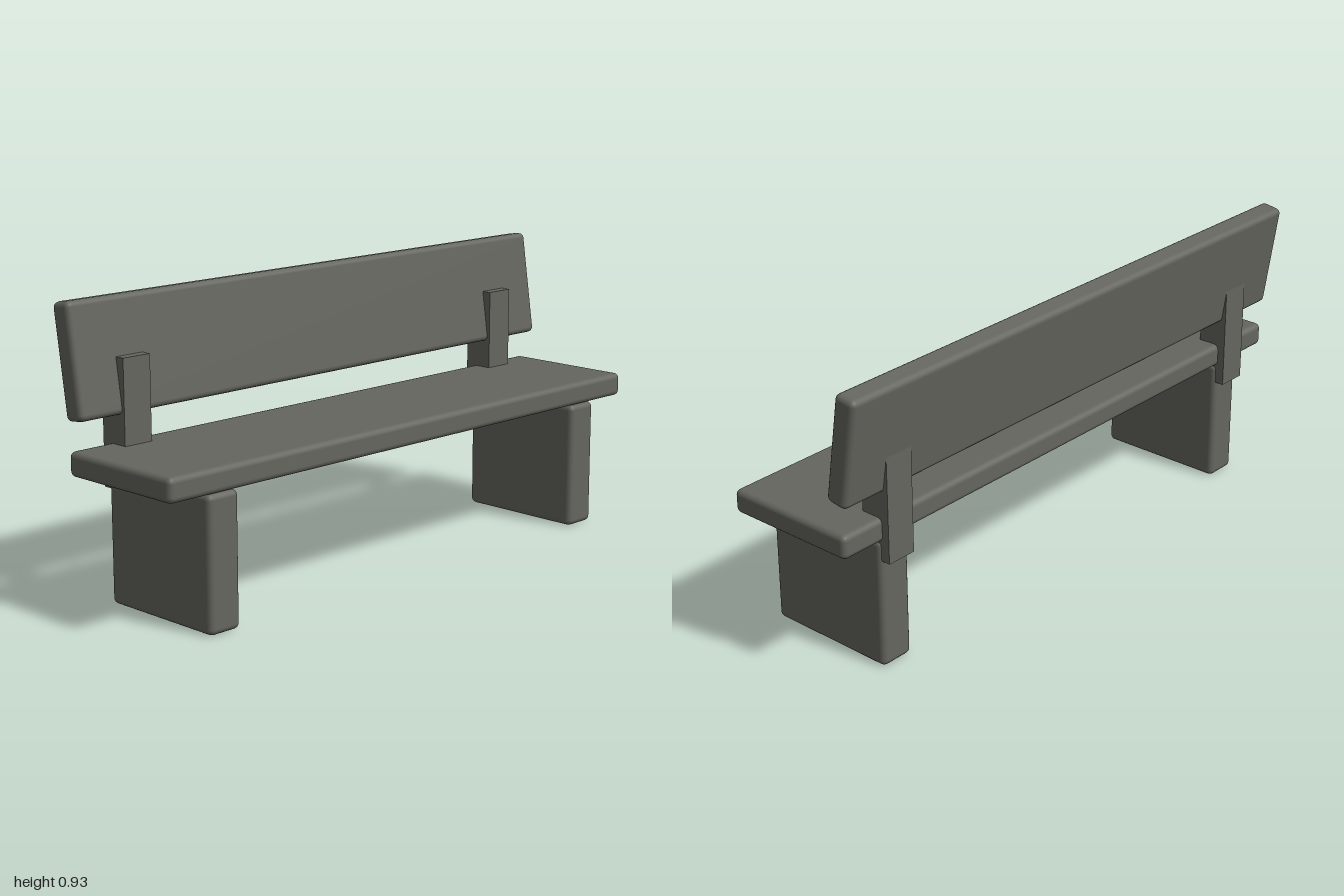
import * as THREE from 'three';
import { RoundedBoxGeometry } from 'three/addons/geometries/RoundedBoxGeometry.js';

export function createModel() {
  const bench = new THREE.Group();
  bench.name = 'bench';
  const stone = new THREE.MeshStandardMaterial({ color: 0x666660 });
  stone.name = 'warm grey';

  const add = (name, geometry, x, y, z) => {
    const mesh = new THREE.Mesh(geometry, stone);
    mesh.name = name;
    mesh.position.set(x, y, z);
    bench.add(mesh);
    return mesh;
  };
  // Slab with softened edges
  const slab = (w, h, d) => new RoundedBoxGeometry(w, h, d, 2, 0.018);

  // Seat plank
  add('seat', slab(2, 0.076, 0.45), 0, 0.453, 0.03);

  // Backrest plank, leaning backwards
  add('backrest', slab(2, 0.348, 0.076), 0, 0.752, -0.191).rotation.x = -0.15;

  // Slab legs and sharp-edged backrest posts on both sides
  for (const [side, s] of [['left', 1], ['right', -1]]) {
    add(side + 'Leg', slab(0.115, 0.415, 0.446), s * 0.8, 0.2075, 0.03);
    add(side + 'BackPost', new THREE.BoxGeometry(0.1, 0.4, 0.1), s * 0.8, 0.553, -0.17);
  }
  return bench;
}
